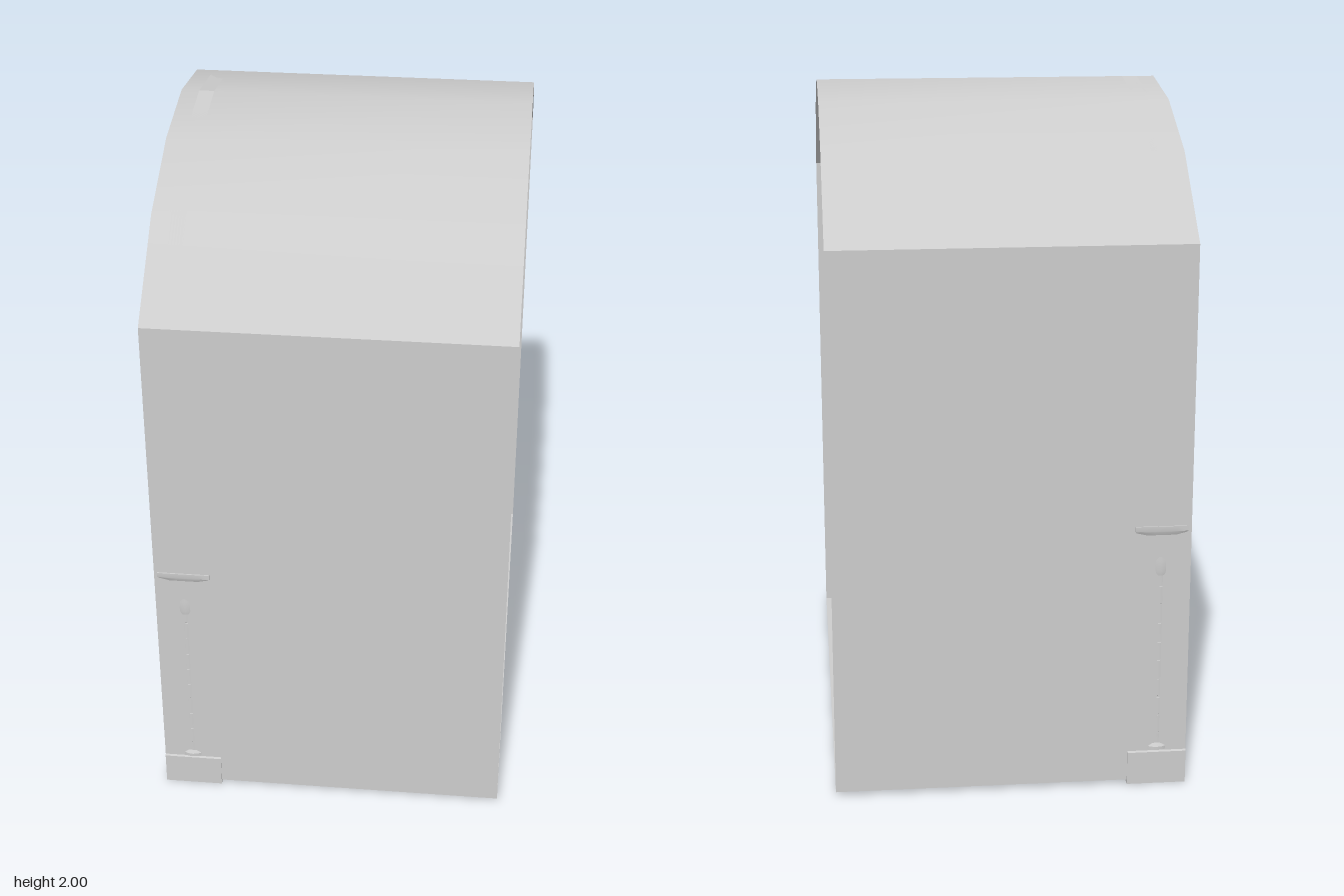
import * as THREE from 'three';
import { toCreasedNormals } from 'three/addons/utils/BufferGeometryUtils.js';

const solid = new THREE.MeshStandardMaterial({ color: 0xcccccc });
const sheet = new THREE.MeshStandardMaterial({ color: 0xcccccc, side: THREE.DoubleSide });

const X0 = -0.52, X1 = 0.515, Z = 0.775, FLOOR = 0.013, EAVES = 1.625;
const LENGTH = X1 - X0, MID = (X0 + X1) / 2;
const COLUMN_X = -0.433;

// roof half profile and arch joints, as [z, y] from the crown or springing
const ROOF = [[-Z, EAVES], [-0.52, 1.845], [-0.26, 1.96], [0, 2], [0.26, 1.96], [0.52, 1.845], [Z, EAVES]];
const OUTER = [[0.745, 0.805], [0.725, 0.965], [0.663, 1.13], [0.555, 1.272], [0.422, 1.387], [0.265, 1.465], [0.1, 1.505]];
const INNER = [[0.667, 0.805], [0.648, 0.957], [0.59, 1.1], [0.5, 1.215], [0.382, 1.32], [0.24, 1.39], [0.09, 1.425]];

function add(parent, name, geometry, x = 0, y = 0, z = 0, material = solid) {
  const mesh = new THREE.Mesh(geometry, material);
  mesh.name = name;
  mesh.position.set(x, y, z);
  parent.add(mesh);
  return mesh;
}

// outline in [z, y], extruded along x and centred on x = 0
function slab(points, depth) {
  const shape = new THREE.Shape(points.map(([z, y]) => new THREE.Vector2(-z, y)));
  return new THREE.ExtrudeGeometry(shape, { depth, bevelEnabled: false })
    .translate(0, 0, -depth / 2).rotateY(Math.PI / 2);
}

// sections [y, half width, squareness, centre z], from bottom to top
function loft(sections, sides = 24) {
  const positions = [], index = [];
  sections.forEach(([y, half, n, cz], i) => {
    for (let j = 0; j < sides; j++) {
      const a = (j / sides) * Math.PI * 2, c = Math.cos(a), s = Math.sin(a);
      const r = half / Math.pow(Math.abs(c) ** n + Math.abs(s) ** n, 1 / n);
      positions.push(r * c, y, Math.min(cz + r * s, 0.779));
      if (i === 0) continue;
      const k = (j + 1) % sides, lo = (i - 1) * sides, hi = i * sides;
      index.push(lo + j, hi + j, hi + k, lo + j, hi + k, lo + k);
    }
  });
  const g = new THREE.BufferGeometry();
  g.setAttribute('position', new THREE.Float32BufferAttribute(positions, 3));
  g.setIndex(index);
  g.computeVertexNormals();
  return toCreasedNormals(g, 0.6);
}

function makeShell() {
  const g = new THREE.Group();
  g.name = 'vaultedPassage';
  add(g, 'floor', new THREE.PlaneGeometry(LENGTH, 2 * Z).rotateX(-Math.PI / 2), MID, FLOOR, 0, sheet);
  for (const s of [1, -1]) {
    const wall = new THREE.PlaneGeometry(LENGTH, EAVES - FLOOR);
    if (s < 0) wall.rotateY(Math.PI);
    add(g, s > 0 ? 'frontWall' : 'backWall', wall, MID, (EAVES + FLOOR) / 2, s * Z, sheet);
  }
  // curved roof sheet bent from a plane
  const roof = new THREE.PlaneGeometry(LENGTH, 1, 1, ROOF.length - 1);
  const p = roof.attributes.position;
  for (let i = 0; i < p.count; i++) {
    const [z, y] = ROOF[Math.floor(i / 2)];
    p.setXYZ(i, p.getX(i), y, z);
  }
  roof.computeVertexNormals();
  add(g, 'roof', roof, MID, 0, 0, sheet);
  return g;
}

function makeArch() {
  const g = new THREE.Group();
  g.name = 'arch';
  g.position.x = COLUMN_X - 0.012;
  // wall above the arch, its opening hidden inside the stones
  const half = OUTER.map(([z, y], i) => [(z + INNER[i][0]) / 2, (y + INNER[i][1]) / 2]);
  const opening = [...half, ...half.map(([z, y]) => [-z, y]).reverse()];
  add(g, 'archWall', slab([...ROOF, [Z, 0.81], ...opening, [-Z, 0.81]], 0.045));
  // arch stones with narrow joints
  for (const s of [1, -1]) {
    for (let i = 0; i < OUTER.length - 1; i++) {
      const mix = (list, t) => [0, 1].map((k) => (list[i][k] * (1 - t) + list[i + 1][k] * t) * (k ? 1 : s));
      const a = i ? 0.035 : 0;
      add(g, 'archStone', slab([mix(INNER, a), mix(OUTER, a), mix(OUTER, 0.965), mix(INNER, 0.965)], 0.125));
    }
  }
  add(g, 'keystone', slab([[-0.083, 1.43], [0.083, 1.43], [0.098, 1.597], [-0.098, 1.597]], 0.15));
  return g;
}

function makeColumn() {
  const g = new THREE.Group();
  g.name = 'column';
  // pedestal with a chamfered top
  const base = [[0.665, 0], [0.779, 0], [0.779, 0.1], [0.77, 0.11], [0.675, 0.11], [0.665, 0.1]];
  add(g, 'columnBase', slab(base, 0.174));
  // shaft of drums separated by fine grooves
  const r = 0.043, profile = [[0.05, 0.108], [0.05, 0.118], [r, 0.128]];
  for (let y = 0.16; y < 0.64; y += 0.058) profile.push([r, y - 0.003], [r - 0.003, y], [r, y + 0.003]);
  profile.push([r, 0.67]);
  const shaft = new THREE.LatheGeometry(profile.map(([x, y]) => new THREE.Vector2(x, y)), 20);
  add(g, 'columnShaft', toCreasedNormals(shaft, 0.5), 0, 0, 0.733);
  // capital flaring from the round shaft to a square slab
  add(g, 'capital', loft([
    [0.655, 0.043, 2, 0.733], [0.668, 0.046, 2, 0.732], [0.7, 0.05, 2.5, 0.726], [0.735, 0.058, 4, 0.715],
    [0.77, 0.068, 10, 0.703], [0.775, 0.072, 20, 0.702], [0.787, 0.076, 20, 0.702],
    [0.79, 0.08, 20, 0.701], [0.805, 0.08, 20, 0.701], [0.805, 0.001, 20, 0.701],
  ]));
  return g;
}

function makeTorch() {
  const g = new THREE.Group();
  g.name = 'wallTorch';
  const body = new THREE.Group();
  body.name = 'torchBody';
  body.position.set(0, 0.335, 0.747);
  body.rotation.x = -0.1;
  g.add(body);
  add(body, 'handleKnob', new THREE.SphereGeometry(0.013, 10, 8));
  add(body, 'handle', new THREE.CylinderGeometry(0.015, 0.007, 0.11, 10), 0, 0.06, 0);
  add(body, 'torchCup', new THREE.CylinderGeometry(0.025, 0.014, 0.022, 10), 0, 0.12, 0);
  // open basket of hoops and uprights
  for (const y of [0.132, 0.157, 0.178]) {
    add(body, 'basketHoop', new THREE.TorusGeometry(0.027, 0.004, 6, 16).rotateX(Math.PI / 2), 0, y, 0);
  }
  for (let i = 0; i < 4; i++) {
    const a = Math.PI / 4 + (i * Math.PI) / 2;
    add(body, 'basketBar', new THREE.BoxGeometry(0.006, 0.065, 0.006), 0.027 * Math.cos(a), 0.155, 0.027 * Math.sin(a));
  }
  // bracket holding the torch to the wall
  add(g, 'wallBracket', new THREE.BoxGeometry(0.016, 0.014, 0.035), 0, 0.43, 0.756);
  return g;
}

export function createModel() {
  const model = new THREE.Group();
  model.name = 'archedPassage';
  model.add(makeShell(), makeArch());
  // columns and torches on both sides, turned to face each other
  for (const turn of [0, Math.PI]) {
    const column = makeColumn();
    column.position.x = COLUMN_X;
    column.rotation.y = turn;
    const torch = makeTorch();
    torch.position.x = 0.105;
    torch.rotation.y = turn;
    model.add(column, torch);
  }
  return model;
}
